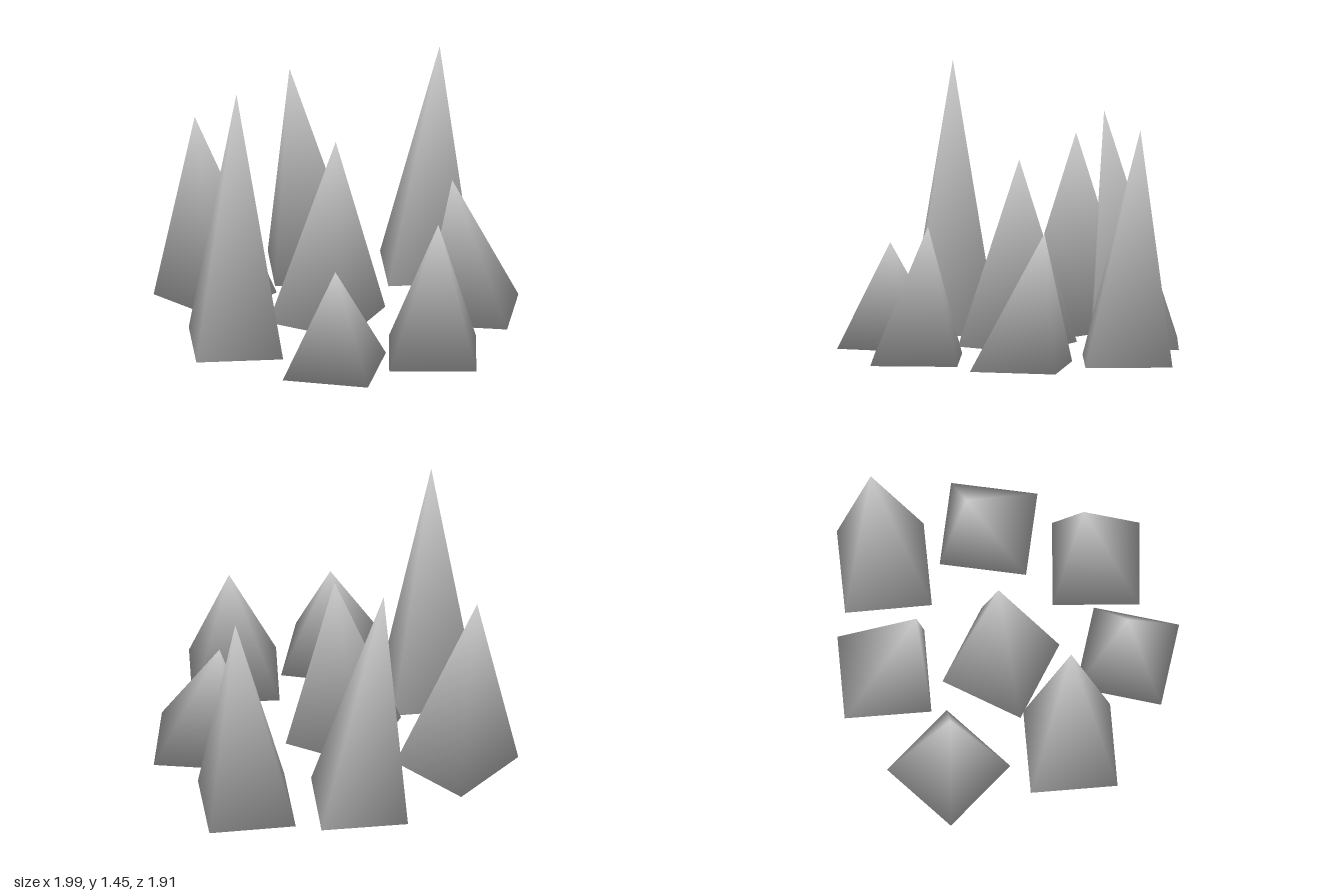
import * as THREE from 'three';

// Each spike: base centre x, z, base turn in degrees, tip x, z, height
const SPIKES = [
  [-0.457, -0.622, -16.5, -0.555, -0.67, 1.03],
  [0.172, -0.648, 25.7, -0.03, -0.57, 1.23],
  [0.688, -0.345, 25, 0.78, -0.375, 1.25],
  [-0.69, -0.01, 25.5, -0.69, -0.005, 1.45],
  [-0.087, -0.083, 57, -0.04, -0.07, 1.0],
  [0.599, 0.244, 38, 0.58, 0.095, 0.7],
  [-0.394, 0.515, 42.4, -0.39, 0.52, 0.55],
  [0.141, 0.635, 30.2, 0.2, 0.595, 0.72],
];
const BASE_RADIUS = 0.327; // centre to corner of the square base

// Leaning square pyramid with shared corners, so the shading is smooth
function spikeGeometry([cx, cz, turn, tipX, tipZ, height]) {
  const points = [];
  const walls = [];
  for (let i = 0; i < 4; i++) {
    const a = THREE.MathUtils.degToRad(turn + 225 + i * 90);
    points.push(cx + Math.cos(a) * BASE_RADIUS, 0, cz + Math.sin(a) * BASE_RADIUS);
    walls.push((i + 1) % 4, i, 4);
  }
  points.push(tipX, height, tipZ);

  const geometry = new THREE.BufferGeometry();
  geometry.setAttribute('position', new THREE.Float32BufferAttribute(points, 3));

  // Both floor diagonals weigh in on the normals, so all corners shade alike
  const floor = [0, 1, 2, 0, 2, 3];
  geometry.setIndex([...walls, ...floor, 1, 2, 3, 1, 3, 0]);
  geometry.computeVertexNormals();
  geometry.setIndex([...walls, ...floor]);
  return geometry;
}

export function createModel() {
  const group = new THREE.Group();
  group.name = 'spikeCluster';
  const material = new THREE.MeshStandardMaterial({ color: 0xcccccc });
  SPIKES.forEach((spike, i) => {
    const mesh = new THREE.Mesh(spikeGeometry(spike), material);
    mesh.name = `spike${i + 1}`;
    group.add(mesh);
  });
  return group;
}
